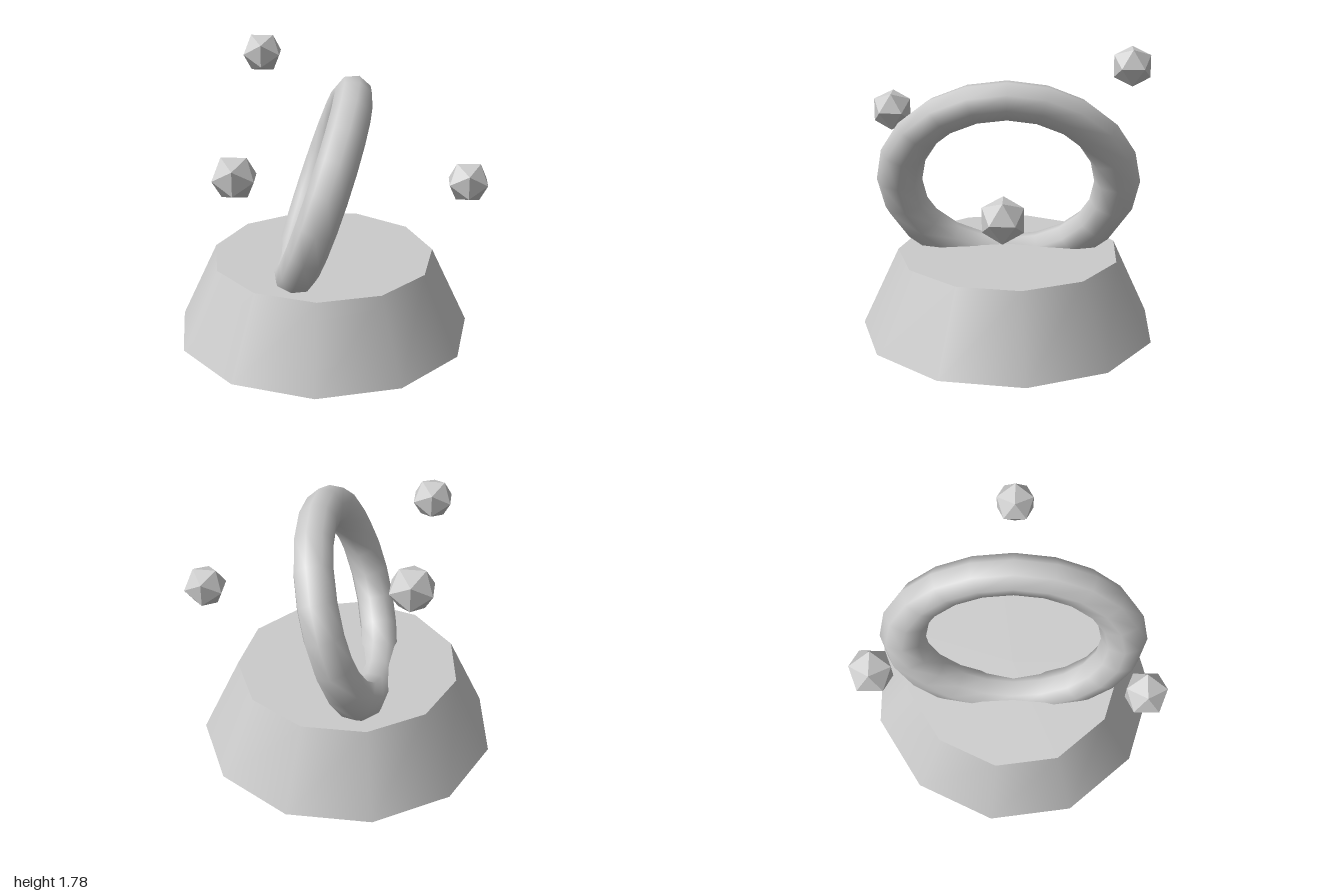
import * as THREE from 'three';

const CX = -0.05, CZ = -0.022;

export function createModel() {
  const group = new THREE.Group();
  const smooth = new THREE.MeshStandardMaterial({ color: 0xcccccc });
  const faceted = new THREE.MeshStandardMaterial({ color: 0xcccccc, flatShading: true });

  function add(name, geometry, material, x, y, z) {
    const mesh = new THREE.Mesh(geometry, material);
    mesh.name = name;
    mesh.position.set(x, y, z);
    group.add(mesh);
    return mesh;
  }

  // Tapered eleven-sided pedestal
  add('pedestal', new THREE.CylinderGeometry(0.722, 0.963, 0.522, 11), smooth, CX, 0.261, CZ);

  // Leaning ring, stretched front to back, sunk into the pedestal
  const ring = new THREE.TorusGeometry(0.6, 0.126, 8, 20);
  ring.rotateY(Math.PI / 2);
  ring.rotateZ(-THREE.MathUtils.degToRad(18.7));
  ring.scale(1, 1, 1.165);
  add('ring', ring, smooth, CX, 1.0, CZ + 0.004);

  // Floating crystals spaced around the ring
  const crystal = new THREE.IcosahedronGeometry(0.142, 0);
  const spots = [[0.875, 1.04, -0.02], [-0.515, 1.345, 0.775], [-0.503, 1.655, -0.822]];
  spots.forEach(([x, y, z], i) => add('crystal' + (i + 1), crystal, faceted, x, y, z));

  return group;
}
